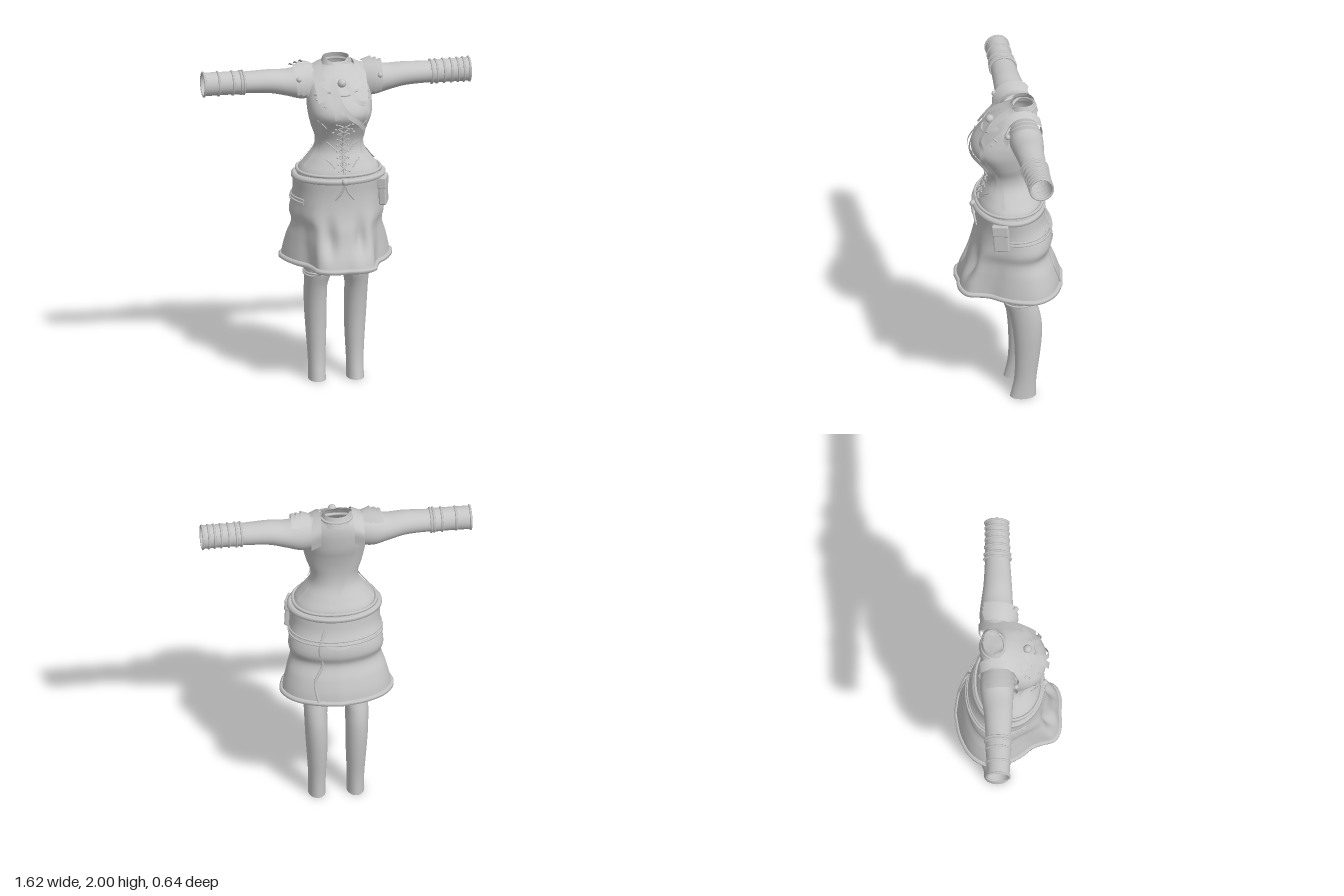
import * as THREE from 'three';
import { RoundedBoxGeometry } from 'three/addons/geometries/RoundedBoxGeometry.js';

const cloth = new THREE.MeshStandardMaterial({ color: 0xc6c6c6, side: THREE.DoubleSide });
cloth.name = 'pale grey cloth';
const V = (x, y, z) => new THREE.Vector3(x, y, z);

// Smooth lookup through rows of [position, ...values]
function track(rows) {
  const n = rows[0].length - 1;
  const interp = new THREE.CubicInterpolant(rows.map(r => r[0]), rows.flatMap(r => r.slice(1)), n, new Float32Array(n));
  return t => Array.from(interp.evaluate(t));
}

// Skin a grid of points f(u, v); u runs around, v runs along
function skin(f, nu, nv, closed = true) {
  const pos = [], idx = [], w = closed ? nu : nu + 1;
  for (let j = 0; j <= nv; j++)
    for (let i = 0; i < w; i++) pos.push(...f(i / nu, j / nv).toArray());
  for (let j = 0; j < nv; j++)
    for (let i = 0; i < nu; i++) {
      const a = j * w + i, b = j * w + (i + 1) % w, c = a + w, d = b + w;
      idx.push(a, b, d, a, d, c);
    }
  const g = new THREE.BufferGeometry();
  g.setAttribute('position', new THREE.Float32BufferAttribute(pos, 3));
  g.setIndex(idx);
  g.computeVertexNormals();
  return g;
}

// Torso: y, half width, front z, back z
const torsoRow = track([
  [1.28, 0.25, 0.19, -0.19], [1.34, 0.24, 0.19, -0.19], [1.4, 0.195, 0.165, -0.16],
  [1.47, 0.148, 0.135, -0.125], [1.53, 0.142, 0.135, -0.115], [1.61, 0.168, 0.17, -0.12],
  [1.7, 0.19, 0.225, -0.14], [1.75, 0.193, 0.215, -0.155], [1.81, 0.19, 0.17, -0.165],
  [1.88, 0.175, 0.105, -0.17], [1.93, 0.13, 0.04, -0.165], [1.96, 0.088, -0.01, -0.155],
  [1.98, 0.076, -0.025, -0.15]]);
function torsoPoint(a, y, off = 0) {
  const [rx, f, b] = torsoRow(y), s = Math.sin(a), c = Math.cos(a);
  const sq = v => Math.sign(v) * Math.abs(v) ** 0.9;
  return V((rx + off) * sq(s), y, (f + b) / 2 + ((f - b) / 2 + off) * sq(c));
}
// Chest point at a given x and y
const chest = (x, y, off = 0.006) =>
  torsoPoint(Math.asin(Math.sign(x) * Math.min(1, Math.abs(x) / torsoRow(y)[0]) ** (1 / 0.9)), y, off);

// Skirt: y, half width, front z, back z, amount of hem shape
const skirtRow = track([
  [0.77, 0.325, 0.305, -0.305, 1], [0.83, 0.317, 0.29, -0.295, 0.95], [0.91, 0.303, 0.26, -0.27, 0.8],
  [1.0, 0.282, 0.235, -0.235, 0.6], [1.06, 0.297, 0.215, -0.255, 0.45], [1.13, 0.285, 0.2, -0.25, 0.3],
  [1.21, 0.265, 0.195, -0.215, 0.12], [1.3, 0.265, 0.2, -0.2, 0]]);
const hemShape = new THREE.CatmullRomCurve3([
  [0, 0.3], [0.09, 0.305], [0.165, 0.27], [0.187, 0.2], [0.21, 0.14], [0.265, 0.07],
  [0.31, -0.02], [0.325, -0.12], [0.265, -0.22], [0.14, -0.285], [0, -0.31]
].map(([x, z]) => V(x / 0.325, 0, z / 0.305)));
function skirtPoint(a, y, off = 0) {
  const [rx, f, b, k] = skirtRow(y);
  a = Math.atan2(Math.sin(a), Math.cos(a));
  const h = hemShape.getPoint(Math.abs(a) / Math.PI);
  const x = (rx + off) * THREE.MathUtils.lerp(Math.sin(a), h.x * Math.sign(a), k);
  let z = (f + b) / 2 + ((f - b) / 2 + off) * THREE.MathUtils.lerp(Math.cos(a), h.z, k);
  // two soft folds in the front
  if (z > 0) z -= 0.045 * Math.exp(-(((Math.abs(x) - 0.09) / 0.035) ** 2) - ((y - 0.95) / 0.1) ** 2);
  return V(x, y, z);
}

export function createModel() {
  const root = new THREE.Group();
  root.name = 'outfit';
  const add = (name, geo, parent = root) => {
    const m = new THREE.Mesh(geo, cloth);
    m.name = name;
    parent.add(m);
    return m;
  };
  const TAU = Math.PI * 2;
  const cord = (name, pts, r, closed = false, n = 24) =>
    add(name, new THREE.TubeGeometry(new THREE.CatmullRomCurve3(pts, closed), n, r, 6, closed));
  const stud = (name, p, r) => add(name, new THREE.SphereGeometry(r, 12, 8)).position.copy(p);
  const loop = (f, n = 64) => Array.from({ length: n }, (_, i) => f(i / n * TAU));

  // Flat ribbon lying on the torso, given as [angle, y] points
  function ribbon(name, pts, w, off = 0.008) {
    const c = new THREE.CatmullRomCurve3(pts.map(([a, y]) => V(a, y, 0)));
    const at = t => { const q = c.getPoint(t); return torsoPoint(q.x, q.y, off); };
    add(name, skin((u, v) => {
      const q = c.getPoint(v), tan = at(Math.min(1, v + 0.01)).sub(at(Math.max(0, v - 0.01))).normalize();
      const side = tan.cross(V(Math.sin(q.x), 0.1, Math.cos(q.x))).normalize();
      return at(v).addScaledVector(side, (u - 0.5) * w);
    }, 2, 24, false));
  }

  // Bodice, collar and skirt
  add('bodice', skin((u, v) => torsoPoint(u * TAU, 1.28 + 0.7 * v), 56, 56));
  add('collar', skin((u, v) => {
    const a = u * TAU, k = Math.max(0, Math.cos(a)) ** 4;
    const y = 1.93 + 0.07 * v - k * 0.035 * v, r = 0.1 - 0.022 * v;
    return V(r * Math.sin(a), y, -0.085 + (r - 0.01) * Math.cos(a));
  }, 40, 6));
  cord('collarRoll', loop(a => V(0.088 * Math.sin(a), 1.965 - 0.025 * Math.max(0, Math.cos(a)), -0.09 + 0.068 * Math.cos(a)), 24), 0.01, true, 40);
  add('skirt', skin((u, v) => skirtPoint(u * TAU, 0.77 + 0.53 * v), 96, 40));
  cord('skirtHem', loop(a => skirtPoint(a, 0.772)), 0.016, true, 128);
  cord('belt', loop(a => skirtPoint(a, 1.3)), 0.02, true, 96);
  cord('beltEdge', loop(a => torsoPoint(a, 1.335, 0.006)), 0.01, true, 96);

  // Ragged overskirt, parted at the front
  add('overskirt', skin((u, v) => {
    const a = 0.12 + u * (TAU - 0.24);
    const low = 1.19 - 0.04 * Math.sin(a / 2) + 0.025 * Math.cos(a * 5);
    return skirtPoint(a, THREE.MathUtils.lerp(low, 1.3, v), 0.01);
  }, 80, 6, false));
  for (const y of [1.15, 1.17])
    cord('hipStrap', Array.from({ length: 14 }, (_, i) => skirtPoint(1.1 + i * 0.32, y, 0.01)), 0.006, false, 60);
  cord('skirtBackSeam', [1.25, 1.12, 1.0, 0.9, 0.78].map((y, i) => skirtPoint(2.85 - 0.08 * (i % 2), y, 0.004)), 0.008);

  // Pouch and buckle
  const pouch = add('pouch', new RoundedBoxGeometry(0.045, 0.17, 0.095, 2, 0.01));
  pouch.position.set(0.255, 1.205, 0.085);
  pouch.rotation.set(0.08, -0.35, 0.06);
  add('pouchFlap', new RoundedBoxGeometry(0.054, 0.07, 0.1, 2, 0.008), pouch).position.set(0, 0.055, 0);
  stud('beltBuckle', V(0, 1.305, 0.215), 0.02);
  for (const s of [-1, 1]) cord('buckleTail', [V(0, 1.29, 0.22), V(s * 0.02, 1.24, 0.212), V(s * 0.06, 1.19, 0.2)], 0.007);

  // Lacing down the bodice
  cord('frontSeam', [1.68, 1.6, 1.5, 1.42, 1.34].map(y => chest(0, y)), 0.006);
  for (let i = 0; i < 9; i++) {
    const y = 1.66 - i * 0.037, w = i < 2 ? 0.035 : 0.02;
    for (const s of [-1, 1]) {
      if (i < 8) cord('lace', [chest(-s * w, y), chest(0, y - 0.018, 0.01), chest(s * w, y - 0.036)], 0.004, false, 6);
      stud('eyelet', chest(s * (w + 0.012), y), 0.006);
    }
  }
  cord('bodiceTop', Array.from({ length: 13 }, (_, i) => chest(-0.16 + i * 0.0267, 1.835 - 0.01 * Math.cos(i))), 0.006);
  stud('brooch', chest(0, 1.89, 0.02), 0.026);
  ribbon('longRibbon', [[-0.2, 1.9], [-0.1, 1.8], [0.1, 1.72], [0.5, 1.65], [0.85, 1.56], [0.75, 1.45]], 0.03, 0.016);
  ribbon('shortRibbon', [[-0.25, 1.91], [-0.22, 1.82], [-0.18, 1.7]], 0.04, 0.018);
  ribbon('upperRibbon', [[0.1, 1.89], [0.35, 1.8], [0.75, 1.74], [0.8, 1.66]], 0.03, 0.014);
  ribbon('backSash', [[-2.5, 1.88], [-2.6, 1.75], [-2.85, 1.6], [-3.15, 1.45], [-3.3, 1.37]], 0.05);

  // Arms: x, centre y, centre z, half height, half depth
  const armRow = track([
    [0.13, 1.86, -0.07, 0.1, 0.09], [0.22, 1.853, -0.07, 0.098, 0.1], [0.3, 1.858, -0.067, 0.08, 0.095],
    [0.4, 1.872, -0.062, 0.07, 0.085], [0.55, 1.874, -0.062, 0.064, 0.075], [0.68, 1.875, -0.063, 0.064, 0.066],
    [0.805, 1.875, -0.065, 0.066, 0.064]]);
  // Legs: y, centre x, half width, front z, back z
  const legRow = track([
    [0, 0.115, 0.052, 0.01, -0.145], [0.04, 0.115, 0.051, 0, -0.145], [0.12, 0.115, 0.052, -0.015, -0.148],
    [0.3, 0.117, 0.061, -0.018, -0.17], [0.42, 0.12, 0.066, -0.01, -0.18], [0.52, 0.122, 0.068, 0.003, -0.178],
    [0.6, 0.122, 0.07, 0.02, -0.163], [0.68, 0.112, 0.083, 0.045, -0.142], [0.78, 0.105, 0.095, 0.06, -0.14],
    [1.1, 0.1, 0.1, 0.08, -0.14]]);
  const legPoint = (s, a, y, off = 0) => {
    const [cx, rx, f, b] = legRow(y);
    return V(s * cx + (rx + off) * Math.sin(a), y, (f + b) / 2 + ((f - b) / 2 + off) * Math.cos(a));
  };

  for (const s of [-1, 1]) {
    const armPoint = (a, x, off = 0) => {
      const [cy, cz, ry, rz] = armRow(x);
      return V(s * x, cy + (ry + off) * Math.cos(a), cz + s * (rz + off) * Math.sin(a));
    };
    add('sleeve', skin((u, v) => armPoint(u * TAU, 0.13 + 0.675 * v), 32, 32));
    // Cuff and its ribs
    const ribs = s > 0 ? [0.57, 0.6, 0.645, 0.69, 0.73, 0.765, 0.8] : [0.565, 0.582, 0.63, 0.715, 0.802];
    add('cuff', skin((u, v) => armPoint(u * TAU, 0.565 + 0.235 * v, 0.005), 32, 8));
    for (const x of ribs) cord('cuffRib', loop(a => armPoint(a, x, 0.005), 24), 0.007, true, 40);

    // Layered shoulder guard, flared outwards and reaching down the front
    for (let i = 0; i < 3; i++)
      add('shoulderGuard', skin((u, v) => {
        const a = s * (-0.7 + 2.7 * u), x = 0.16 + 0.03 * i + 0.055 * v - 0.02 * u;
        return armPoint(a, x, 0.012 + 0.022 * v - 0.004 * i);
      }, 20, 4, false));
    stud('shoulderStud', V(s * 0.245, 1.905, 0.045), 0.016);

    // Strap over the shoulder
    const strap = new THREE.CatmullRomCurve3([V(0.13, 1.8, -0.165), V(0.13, 1.9, -0.175), V(0.125, 1.955, -0.12),
      V(0.125, 1.965, -0.04), V(0.13, 1.93, 0.04), V(0.125, 1.86, 0.115), V(0.12, 1.8, 0.165)]);
    add('shoulderStrap', skin((u, v) => {
      const p = strap.getPoint(v);
      return V(s * (p.x + (u - 0.5) * 0.06), p.y - (u - 0.5) * 0.03, p.z);
    }, 2, 30, false));

    // Pointed lapel folded over the chest
    add('lapel', skin((u, v) => {
      const x = THREE.MathUtils.lerp(0.012 + 0.04 * v, 0.07 + 0.05 * v, u);
      const y = 1.965 - v * (0.1 - 0.06 * Math.abs(u - 0.35)) - 0.02 * u;
      return chest(s * x, y, 0.018 + 0.012 * v);
    }, 8, 8, false));

    // Bodice seams and studs
    ribbon('sideRibbon', [[s * 0.75, 1.72], [s * 0.9, 1.6], [s * 1.1, 1.48], [s * 1.25, 1.37]], 0.03);
    ribbon('backTrim', [[s * 1.95, 1.47], [s * 1.9, 1.42], [s * 1.85, 1.36]], 0.022);
    for (const [x, y] of [[0.15, 1.68], [0.09, 1.53], [0.1, 1.43]])
      cord('bodiceSeam', [chest(s * x, y), chest(s * (x - 0.025), y - 0.02), chest(s * (x - 0.05), y - 0.05)], 0.004, false, 8);
    for (const [x, y] of [[0.11, 1.77], [0.15, 1.8], [0.06, 1.6]]) stud('bodiceStud', chest(s * x, y), 0.007);

    // Stocking, thigh band and round knee tab
    add('stocking', skin((u, v) => legPoint(s, u * TAU, 1.1 * v), 32, 44));
    for (const y of [0.668, 0.685]) cord('stockingBand', loop(a => legPoint(s, a, y, 0.003), 24), 0.006, true, 40);
    add('kneeTab', skin((u, v) => {
      const a = (u - 0.5) * 1.0;
      return legPoint(s, a, 0.675 - v * 0.05 * Math.sqrt(Math.max(0, 1 - (2 * u - 1) ** 2)), 0.01);
    }, 14, 4, false));
  }
  return root;
}
